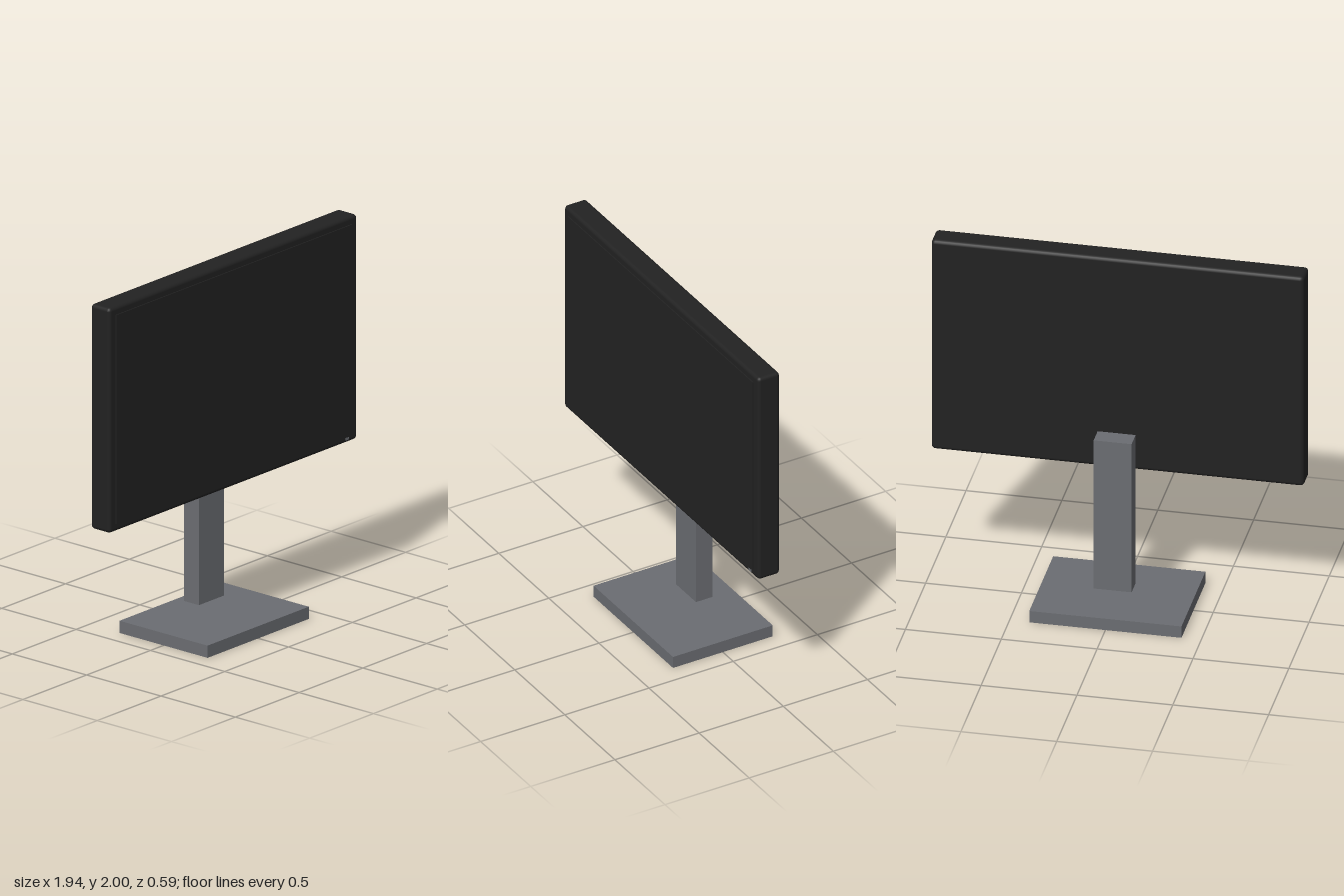
import * as THREE from 'three';
import { RoundedBoxGeometry } from 'three/addons/geometries/RoundedBoxGeometry.js';

export function createModel() {
  const model = new THREE.Group();
  model.name = 'monitor';

  const black = new THREE.MeshStandardMaterial({ color: 0x222222 });
  black.name = 'black plastic';
  const grey = new THREE.MeshStandardMaterial({ color: 0x6b6d72 });
  grey.name = 'grey metal';

  const add = (name, geometry, material, x, y, z) => {
    const mesh = new THREE.Mesh(geometry, material);
    mesh.name = name;
    mesh.position.set(x, y, z);
    model.add(mesh);
  };

  // Stand: flat foot and a free-standing upright behind the display
  add('base', new THREE.BoxGeometry(0.794, 0.066, 0.592), grey, 0, 0.033, 0);
  add('column', new THREE.BoxGeometry(0.198, 0.863, 0.099), grey, 0, 0.566, -0.067);

  // Display: softened housing with a slightly raised screen panel
  add('housing', new RoundedBoxGeometry(1.944, 1.216, 0.13, 2, 0.02), black, 0, 1.392, 0.066);
  add('screen', new THREE.BoxGeometry(1.85, 1.13, 0.008), black, 0, 1.392, 0.133);

  // Power light in the lower bezel, on the model's left
  add('powerLight', new THREE.BoxGeometry(0.027, 0.013, 0.006), grey, 0.89, 0.806, 0.13);

  return model;
}
